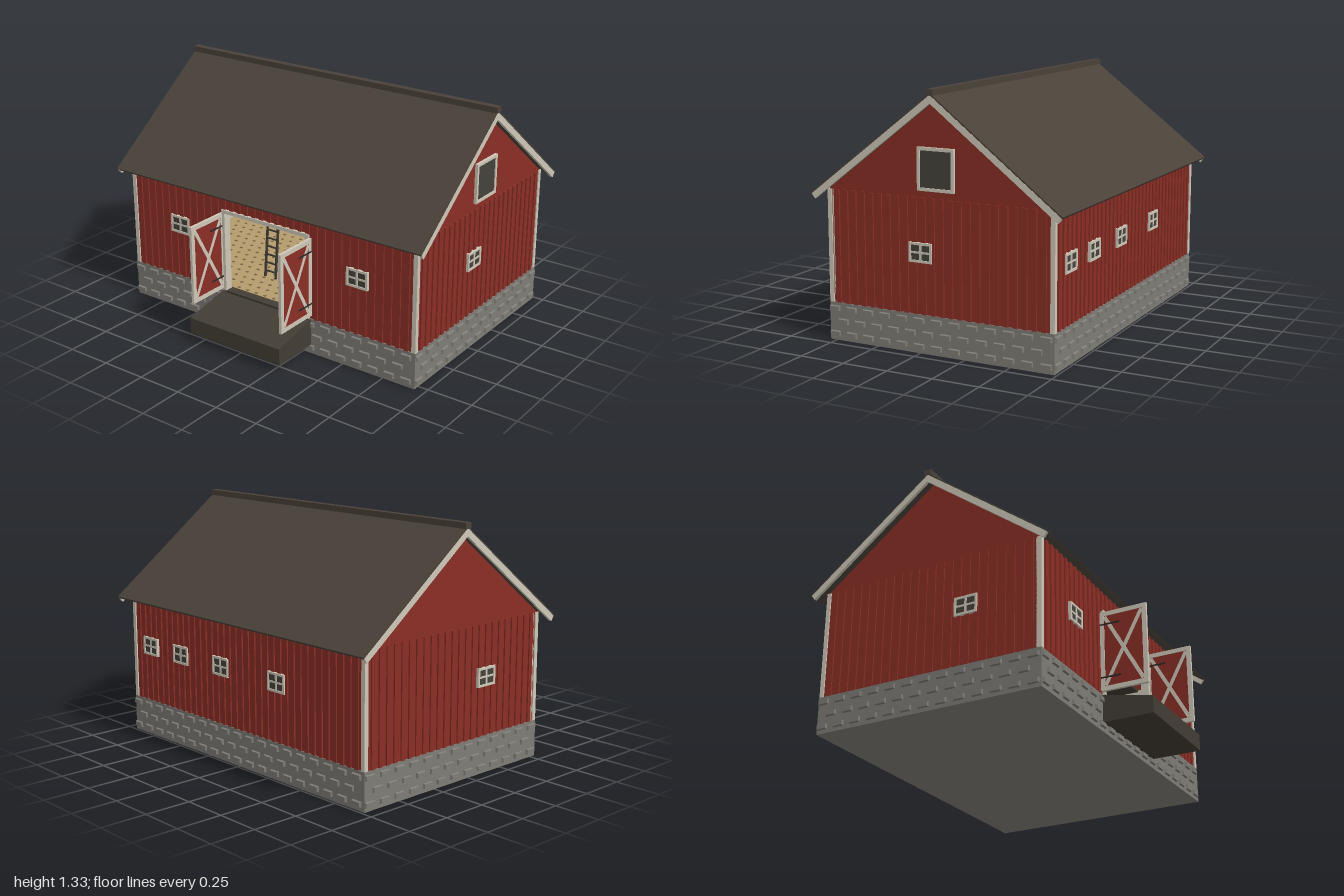
import * as THREE from 'three';
import { mergeGeometries } from 'three/addons/utils/BufferGeometryUtils.js';

const mat = (name, color) => {
  const m = new THREE.MeshStandardMaterial({ color });
  m.name = name;
  return m;
};

export function createModel() {
  const red = mat('barn red', 0x8a2e25), cream = mat('cream trim', 0xcfc8b8);
  const stone = mat('stone grey', 0x7f7c76), roofing = mat('roof brown', 0x4a4239);
  const wood = mat('dark wood', 0x423d35), glass = mat('dark pane', 0x44423b);
  const straw = mat('straw', 0xb39b6c), tuft = mat('straw shadow', 0x7f6b48), iron = mat('iron', 0x2c2a28);

  const model = new THREE.Group();
  model.name = 'barn';
  const MID = -0.1, HX = 0.935, HZ = 0.63; // building centre in z, half sizes

  const add = (parent, name, geo, material) => {
    const m = new THREE.Mesh(geo, material);
    m.name = name;
    parent.add(m);
    return m;
  };
  // Box given by its limits on each axis
  const boxGeo = (x0, x1, y0, y1, z0, z1) =>
    new THREE.BoxGeometry(x1 - x0, y1 - y0, z1 - z0).translate((x0 + x1) / 2, (y0 + y1) / 2, (z0 + z1) / 2);
  const box = (parent, name, material, ...b) => add(parent, name, boxGeo(...b), material);
  const group = (name, parent = model) => {
    const g = new THREE.Group();
    g.name = name;
    parent.add(g);
    return g;
  };
  const extrude = (pts, depth) => new THREE.ExtrudeGeometry(
    new THREE.Shape(pts.map(p => new THREE.Vector2(...p))), { depth, bevelEnabled: false });
  // Cross-section in (z offset, y), swept along x
  const sweepX = (pts, x0, x1) => extrude(pts, x1 - x0).rotateY(Math.PI / 2).translate(x0, 0, MID);

  // The four outer sides: turn about y, distance to the face, half length
  const sides = [
    { turn: 0, dist: HZ, half: HX }, { turn: Math.PI, dist: HZ, half: HX },
    { turn: Math.PI / 2, dist: HX, half: HZ }, { turn: -Math.PI / 2, dist: HX, half: HZ },
  ];

  // Stone foundation with raised, bevelled blocks
  box(model, 'foundation', stone, -0.942, 0.942, 0, 0.2, MID - 0.637, MID + 0.637);
  const block = new THREE.BoxGeometry(0.062, 0.03, 0.012);
  const bp = block.attributes.position;
  for (let i = 0; i < bp.count; i++)
    if (bp.getZ(i) > 0) bp.setXY(i, bp.getX(i) * 0.86, bp.getY(i) * 0.74);
  block.computeVertexNormals();
  const blocks = [];
  for (const s of sides)
    for (let row = 0; row < 3; row++) {
      const n = Math.floor((2 * s.half) / 0.1);
      for (let i = 0; i <= n; i++) {
        const x = -s.half + 0.025 + i * 0.1 + (row % 2) * 0.05;
        if (x > s.half - 0.01) continue;
        blocks.push(block.clone().translate(x, 0.035 + row * 0.067, s.dist + 0.012)
          .rotateY(s.turn).translate(0, 0, MID));
      }
    }
  add(model, 'foundationBlocks', mergeGeometries(blocks), stone);

  // Walls, with cream lining inside
  const doorway = [[-HX, 0.2], [-0.285, 0.2], [-0.285, 0.66], [0.285, 0.66], [0.285, 0.2], [HX, 0.2], [HX, 0.79], [-HX, 0.79]];
  const gable = [[-HZ, 0.2], [HZ, 0.2], [HZ, 0.79], [0, 1.272], [-HZ, 0.79]];
  add(model, 'frontWall', extrude(doorway, 0.02).translate(0, 0, 0.51), red);
  add(model, 'frontLining', extrude(doorway, 0.006).translate(0, 0, 0.504), cream);
  box(model, 'backWall', red, -HX, HX, 0.2, 0.79, -0.73, -0.71);
  box(model, 'backLining', cream, -0.91, 0.91, 0.2, 0.79, -0.71, -0.704);
  for (const s of [-1, 1]) {
    add(model, 'gableWall', sweepX(gable, s * 0.925 - 0.01, s * 0.925 + 0.01), red);
    box(model, 'gableLining', cream, s * 0.912 - 0.003, s * 0.912 + 0.003, 0.2, 0.75, -0.71, 0.51);
  }

  // Vertical battens on all four sides
  const battens = [];
  sides.forEach((s, k) => {
    const n = Math.round((2 * s.half) / 0.05);
    for (let i = 1; i < n; i++) {
      const x = -s.half + (i * 2 * s.half) / n;
      const low = k === 0 && Math.abs(x) < 0.3 ? 0.675 : 0.2;
      battens.push(boxGeo(x - 0.012, x + 0.012, low, 0.79, s.dist - 0.002, s.dist + 0.008)
        .rotateY(s.turn).translate(0, 0, MID));
    }
  });
  add(model, 'battens', mergeGeometries(battens), red);

  // Corner boards
  for (const sx of [-1, 1]) for (const sz of [-1, 1])
    box(model, 'cornerBoard', cream, sx * 0.929 - 0.012, sx * 0.929 + 0.012, 0.2, 0.79,
      MID + sz * 0.625 - 0.012, MID + sz * 0.625 + 0.012);

  // Roof: thin covering, cream bargeboards, ridge cap
  const C = 0.794, S = 0.607;
  const chevron = (t0, t1) => {
    const eave = t => [0.7 - S * t, 0.775 - C * t], ridge = t => [0, 1.31 - t / C];
    const flip = p => [-p[0], p[1]];
    return [ridge(t0), flip(eave(t0)), flip(eave(t1)), ridge(t1), eave(t1), eave(t0)];
  };
  add(model, 'roof', sweepX(chevron(0, 0.014), -0.995, 0.995), roofing);
  for (const s of [-1, 1])
    add(model, 'bargeboard', sweepX(chevron(0.008, 0.04), s * 0.988 - 0.008, s * 0.988 + 0.008), cream);
  box(model, 'ridgeCap', roofing, -1, 1, 1.297, 1.328, MID - 0.02, MID + 0.02);

  // Windows, built facing +z and placed on a side
  const windowOn = (side, x, y, w, h, f, cross) => {
    const pivot = group('window');
    pivot.position.z = MID;
    pivot.rotation.y = side.turn;
    const g = group('windowFrame', pivot);
    g.position.set(x, y, side.dist);
    const a = w / 2, b = h / 2;
    box(g, 'pane', glass, -a + 0.002, a - 0.002, -b + 0.002, b - 0.002, 0.002, 0.0105);
    for (const s of [-1, 1]) {
      box(g, 'jamb', cream, s * (a - f / 2) - f / 2, s * (a - f / 2) + f / 2, -b, b, 0, 0.016);
      box(g, 'rail', cream, -a + f, a - f, s * (b - f / 2) - f / 2, s * (b - f / 2) + f / 2, 0, 0.016);
    }
    if (cross) {
      box(g, 'mullion', cream, -0.006, 0.006, -b + f, b - f, 0, 0.014);
      box(g, 'muntin', cream, -a + f, a - f, -0.005, 0.005, 0, 0.0138);
    }
  };
  const [front, back, right, left] = sides;
  for (const x of [-0.59, 0.59]) windowOn(front, x, 0.515, 0.13, 0.1, 0.012, true);
  for (const x of [0.77, 0.49, 0.14, -0.31]) windowOn(back, -x, 0.515, 0.13, 0.1, 0.012, true);
  windowOn(right, -0.09, 0.515, 0.13, 0.1, 0.012, true);
  windowOn(left, 0.22, 0.515, 0.13, 0.1, 0.012, true);
  windowOn(right, 0, 0.933, 0.205, 0.215, 0.016, false);

  // Door frame and ramp
  for (const s of [-1, 1]) box(model, 'doorJamb', cream, s * 0.278 - 0.01, s * 0.278 + 0.01, 0.2, 0.66, 0.5, 0.545);
  box(model, 'doorHead', cream, -0.288, 0.288, 0.66, 0.68, 0.5, 0.545);
  add(model, 'ramp', sweepX([[-0.91, 0.05], [-0.62, 0.05], [-0.62, 0.2], [-0.91, 0.14]], -0.3, 0.3), wood);

  // Open doors with cross bracing on both faces
  for (const s of [-1, 1]) {
    const d = group('door');
    d.position.set(s * 0.293, 0.438, 0.66);
    box(d, 'doorPanel', red, -0.005, 0.005, -0.215, 0.215, -0.125, 0.125);
    for (const e of [-1, 1]) {
      box(d, 'doorStile', cream, -0.008, 0.008, -0.22, 0.22, e * 0.118 - 0.012, e * 0.118 + 0.012);
      box(d, 'doorRail', cream, -0.008, 0.008, e * 0.208 - 0.012, e * 0.208 + 0.012, -0.106, 0.106);
      const brace = add(d, 'doorBrace', new THREE.BoxGeometry(0.0145 + e * 0.0005, 0.435, 0.02), cream);
      brace.rotation.x = e * Math.atan2(0.21, 0.39);
      box(d, 'hinge', iron, -0.01, 0.01, e * 0.148 - 0.004, e * 0.148 + 0.004, -0.13, -0.02);
    }
  }

  // Straw floor with scattered tufts, and a loft above
  box(model, 'floor', straw, -0.91, 0.91, 0.195, 0.204, -0.705, 0.505);
  box(model, 'threshold', wood, -0.285, 0.285, 0.195, 0.207, 0.49, 0.545);
  const tufts = [];
  for (let i = 0; i < 30; i++) for (let j = 0; j < 20; j++)
    tufts.push(boxGeo(-0.008, 0.008, 0.203, 0.207, -0.006, 0.006)
      .translate(-0.87 + i * 0.06 + (j % 2) * 0.03, 0, -0.67 + j * 0.06));
  add(model, 'strawTufts', mergeGeometries(tufts), tuft);
  box(model, 'loft', wood, -0.91, 0.91, 0.74, 0.755, -0.7, 0.2);

  // Posts, stall wall and manger
  for (const x of [-0.07, 0.14]) box(model, 'post', wood, x - 0.012, x + 0.012, 0.2, 0.745, -0.32, -0.296);
  box(model, 'stallWall', stone, -0.905, -0.08, 0.2, 0.36, -0.45, -0.43);
  box(model, 'stallRail', wood, -0.905, -0.08, 0.36, 0.37, -0.455, -0.425);
  box(model, 'manger', wood, -0.06, 0.9, 0.2, 0.252, -0.65, -0.56);

  // Ladder up to the loft
  const ladder = group('ladder');
  ladder.position.set(-0.18, 0.2, 0.27);
  ladder.rotation.x = -0.1;
  for (const s of [-1, 1]) box(ladder, 'ladderRail', wood, s * 0.036 - 0.005, s * 0.036 + 0.005, 0, 0.55, -0.006, 0.006);
  for (let i = 0; i < 11; i++) box(ladder, 'rung', wood, -0.036, 0.036, 0.036 + i * 0.048, 0.044 + i * 0.048, -0.004, 0.004);

  // Hanging lantern
  const lantern = group('lantern');
  lantern.position.set(0, 0.58, -0.25);
  add(lantern, 'lanternBody', new THREE.CylinderGeometry(0.008, 0.008, 0.045, 8), iron);
  for (const y of [-0.024, 0.018]) add(lantern, 'lanternCap', new THREE.CylinderGeometry(0.012, 0.015, 0.008, 8), iron).position.y = y;
  add(lantern, 'lanternCord', new THREE.CylinderGeometry(0.0012, 0.0012, 0.14, 5), iron).position.y = 0.092;

  // Small wheelbarrow
  const barrow = group('wheelbarrow');
  barrow.position.set(0.2, 0.205, -0.35);
  box(barrow, 'tray', wood, -0.025, 0.03, 0.035, 0.058, -0.03, 0.03);
  add(barrow, 'wheel', new THREE.TorusGeometry(0.016, 0.004, 6, 14), iron).position.set(-0.03, 0.02, 0);
  for (const s of [-1, 1]) {
    const handle = add(barrow, 'handle', new THREE.BoxGeometry(0.12, 0.006, 0.006), wood);
    handle.position.set(0.025, 0.045, s * 0.028);
    handle.rotation.z = 0.45;
    box(barrow, 'leg', wood, 0.02, 0.026, 0, 0.04, s * 0.025 - 0.003, s * 0.025 + 0.003);
  }
  return model;
}
